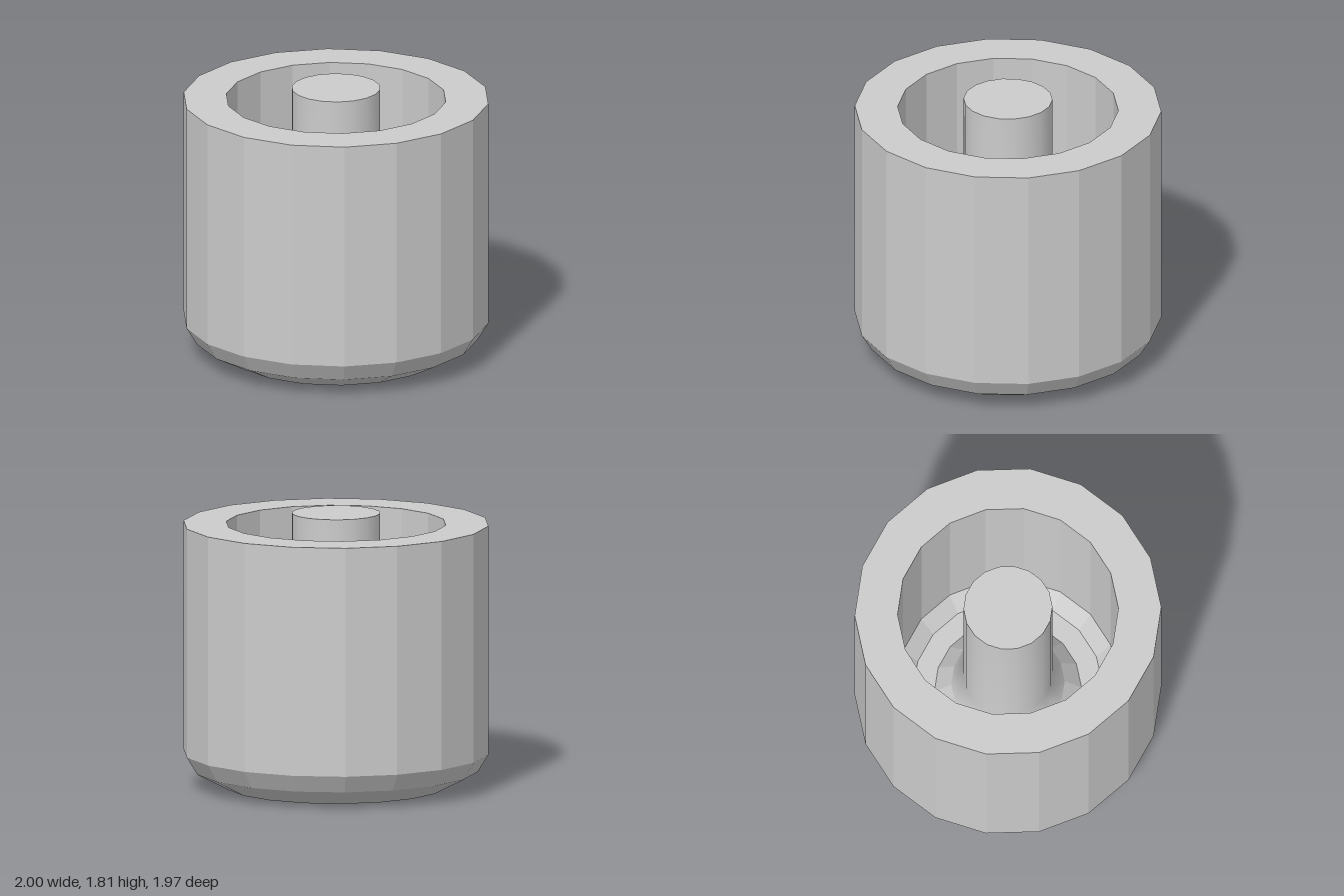
import * as THREE from 'three';

const SIDES = 18;
const FLOOR = 0.25; // height of the ring-shaped floor inside the cup
const RIM = 1.74;
const TOP = 1.81;
const POST_R = 0.29;

// Turned part whose corners start on the x axis
function turned(name, profile, flat) {
  const points = profile.map(([r, y]) => new THREE.Vector2(r, y));
  const geometry = new THREE.LatheGeometry(points, SIDES, Math.PI / 2);
  const mesh = new THREE.Mesh(
    geometry,
    new THREE.MeshStandardMaterial({ color: 0xcccccc, flatShading: flat })
  );
  mesh.name = name;
  return mesh;
}

export function createModel() {
  const group = new THREE.Group();
  group.name = 'cupWithPost';

  // Faceted outer shell: flat base, two bevels, straight wall and flat rim
  group.add(turned('outerShell', [
    [0, 0], [0.72, 0.005], [0.93, 0.115], [1, 0.23], [1, RIM], [0.72, RIM],
  ], true));

  // Inner wall with a bevel into the floor, then the skirt rising to the post
  group.add(turned('innerWell', [
    [0.72, RIM], [0.72, FLOOR + 0.12], [0.62, FLOOR], [0.48, FLOOR], [0.37, FLOOR + 0.13],
  ], true));

  // Smooth central post, flared at its foot
  group.add(turned('post', [
    [0.37, FLOOR + 0.13], [POST_R, FLOOR + 0.3], [POST_R, TOP],
  ], false));

  // Flat top of the post
  const cap = new THREE.Mesh(
    new THREE.CircleGeometry(POST_R, SIDES),
    new THREE.MeshStandardMaterial({ color: 0xcccccc })
  );
  cap.name = 'postCap';
  cap.rotation.x = -Math.PI / 2;
  cap.position.y = TOP;
  group.add(cap);

  return group;
}
